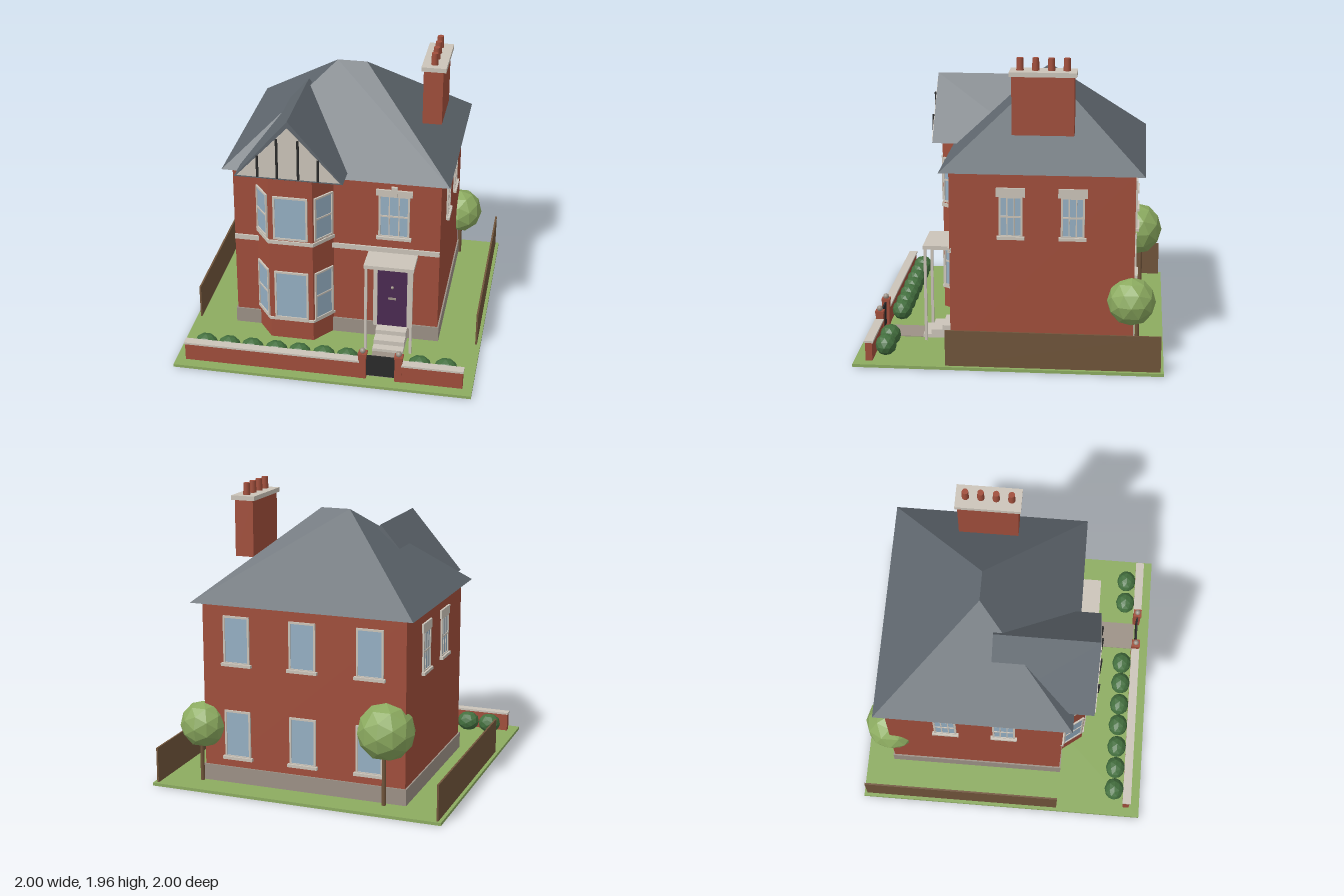
import * as THREE from 'three';
import { ConvexGeometry } from 'three/addons/geometries/ConvexGeometry.js';

const material = (name, color, extra = {}) => {
  const m = new THREE.MeshStandardMaterial({ color, ...extra });
  m.name = name;
  return m;
};

export function createModel() {
  const brick = material('brick', 0xa04e3b);
  const cream = material('cream stone', 0xcbc4b9);
  const slate = material('slate', 0x5f676e);
  const glass = material('glass', 0x95afc3);
  const stone = material('grey stone', 0x9c9186);
  const purple = material('purple paint', 0x4b2a52);
  const black = material('black timber', 0x2a2a2a);
  const wood = material('brown wood', 0x70543a);
  const green = material('grass green', 0x8cab60, { flatShading: true });
  const hedge = material('hedge green', 0x44703f, { flatShading: true });

  const model = new THREE.Group();
  model.name = 'house';

  const add = (parent, name, geometry, mat, x = 0, y = 0, z = 0) => {
    const mesh = new THREE.Mesh(geometry, mat);
    mesh.name = name;
    mesh.position.set(x, y, z);
    parent.add(mesh);
    return mesh;
  };
  // Box given by its limits on each axis
  const box = (parent, name, mat, [x0, x1], [y0, y1], [z0, z1]) =>
    add(parent, name, new THREE.BoxGeometry(x1 - x0, y1 - y0, z1 - z0), mat,
      (x0 + x1) / 2, (y0 + y1) / 2, (z0 + z1) / 2);
  const group = (name, x = 0, y = 0, z = 0, turn = 0) => {
    const g = new THREE.Group();
    g.name = name;
    g.position.set(x, y, z);
    g.rotation.y = turn;
    model.add(g);
    return g;
  };
  const hull = (points) => new ConvexGeometry(points.map((p) => new THREE.Vector3(...p)));

  // Window facing +z, with its origin at the middle of the wall opening
  function addWindow(name, x, y, z, turn, w, h, { bars = 0, transom = false, lintel = 0, keystone = false, sill = true } = {}) {
    const g = group(name, x, y, z, turn);
    const a = w / 2, b = h / 2, f = 0.013;
    box(g, 'pane', glass, [-a, a], [-b, b], [-0.002, 0.005]);
    for (const s of [-1, 1]) {
      box(g, 'frameSide', cream, [s * a - f / 2, s * a + f / 2], [-b, b], [-0.002, 0.012]);
      box(g, 'frameRail', cream, [-a - f / 2, a + f / 2], [s * b - f / 2, s * b + f / 2], [-0.002, 0.012]);
    }
    for (let i = 1; i <= bars; i++) {
      const bx = -a + (w * i) / (bars + 1);
      box(g, 'glazingBar', cream, [bx - 0.004, bx + 0.004], [-b, b], [0, 0.009]);
    }
    if (transom) box(g, 'transom', cream, [-a, a], [-0.006, 0.006], [0, 0.01]);
    if (sill) box(g, 'sill', cream, [-a - 0.02, a + 0.02], [-b - 0.02, -b], [-0.002, 0.025]);
    if (lintel) box(g, 'lintel', cream, [-a - 0.024, a + 0.024], [b, b + lintel], [-0.002, 0.014]);
    if (keystone) box(g, 'keystone', cream, [-0.02, 0.02], [b, b + lintel + 0.025], [-0.002, 0.02]);
  }

  // Plot, path and side fences
  box(model, 'lawn', green, [-1, 1], [0, 0.02], [-1, 1]);
  box(model, 'path', stone, [0.29, 0.49], [0.02, 0.025], [0.6, 0.89]);
  for (const s of [-1, 1]) {
    box(model, 'sideFence', wood, [s * 0.971 - 0.006, s * 0.971 + 0.006], [0.02, 0.26], [-0.98, 0.4]);
  }

  // House body and hipped roof
  box(model, 'walls', brick, [-0.7, 0.7], [0.02, 1.24], [-0.8, 0.4]);
  box(model, 'plinth', stone, [-0.71, 0.71], [0.02, 0.13], [-0.81, 0.41]);
  add(model, 'mainRoof', hull([
    [-0.76, 1.24, -0.86], [0.76, 1.24, -0.86], [-0.76, 1.24, 0.46], [0.76, 1.24, 0.46],
    [-0.1, 1.8, -0.2], [0.1, 1.8, -0.2],
  ]), slate);
  box(model, 'wallBand', cream, [-0.7, -0.53], [0.69, 0.725], [0.39, 0.412]);
  box(model, 'wallBand', cream, [-0.035, 0.7], [0.69, 0.725], [0.39, 0.412]);

  // Chimney stack with four pots
  box(model, 'chimney', brick, [0.51, 0.64], [1.47, 1.85], [-0.4, 0]);
  box(model, 'chimneyCap', cream, [0.495, 0.66], [1.85, 1.88], [-0.415, 0.015]);
  for (let i = 0; i < 4; i++) {
    add(model, 'chimneyPot', new THREE.CylinderGeometry(0.021, 0.024, 0.08, 12), brick, 0.575, 1.92, -0.05 - i * 0.1);
  }

  // Two-storey bay: a canted footprint raised between two heights
  const bayX = -0.28, halfFront = 0.148, halfBack = 0.262, bayZ = 0.55;
  const bayLayer = (name, mat, y0, y1, grow = 0) => {
    const shape = new THREE.Shape([
      [-halfBack - grow, -0.38], [-halfBack - grow, -0.4], [-halfFront - grow * 0.6, -bayZ - grow],
      [halfFront + grow * 0.6, -bayZ - grow], [halfBack + grow, -0.4], [halfBack + grow, -0.38],
    ].map(([x, y]) => new THREE.Vector2(x, y)));
    const geo = new THREE.ExtrudeGeometry(shape, { depth: y1 - y0, bevelEnabled: false });
    add(model, name, geo.rotateX(-Math.PI / 2), mat, bayX, y0, 0);
  };
  bayLayer('bayWalls', brick, 0.02, 1.25);
  bayLayer('bayLowerSill', cream, 0.165, 0.182, 0.01);
  bayLayer('bayBand', cream, 0.765, 0.79, 0.01);
  bayLayer('bayTopTrim', black, 1.25, 1.272, 0.006);
  const cant = Math.atan2(bayZ - 0.4, halfBack - halfFront);
  for (const [y, h] of [[0.367, 0.355], [0.962, 0.31]]) {
    addWindow('bayFrontWindow', bayX, y, bayZ, 0, 0.22, h, { sill: false });
    for (const s of [-1, 1]) {
      addWindow('baySideWindow', bayX + s * (halfBack + halfFront) / 2, y, (bayZ + 0.4) / 2, s * cant, 0.15, h,
        { transom: true, sill: false });
    }
  }

  // Gable over the bay, with timber studs
  add(model, 'gableRoof', hull([-0.1, 0.592].flatMap((z) => [
    [bayX - 0.36, 1.27, z], [bayX + 0.36, 1.27, z], [bayX, 1.69, z],
  ])), slate);
  add(model, 'gablePanel', hull([0.59, 0.598].flatMap((z) => [
    [bayX - 0.34, 1.282, z], [bayX + 0.34, 1.282, z], [bayX, 1.645, z],
  ])), cream);
  for (const [dx, top] of [[0.07, 1.565], [0.2, 1.435]]) {
    for (const s of [-1, 1]) {
      const x = bayX + s * dx;
      box(model, 'gableStud', black, [x - 0.007, x + 0.007], [1.285, top], [0.596, 0.61]);
    }
  }

  // Upper front, side and rear windows
  addWindow('frontWindow', 0.39, 0.967, 0.4, 0, 0.195, 0.305,
    { bars: 2, transom: true, lintel: 0.044, keystone: true });
  for (const s of [-1, 1]) {
    for (const z of [0, -0.4]) {
      addWindow('sideWindow', s * 0.7, 0.948, z, s * Math.PI / 2, 0.14, 0.262, { bars: 2, transom: true, lintel: 0.06 });
    }
  }
  for (const x of [-0.46, 0, 0.46]) {
    for (const y of [0.36, 1.0]) addWindow('rearWindow', x, y, -0.8, Math.PI, 0.17, 0.31);
  }

  // Front door, surround and fanlight
  const doorX = 0.388;
  box(model, 'door', purple, [doorX - 0.102, doorX + 0.102], [0.11, 0.58], [0.39, 0.412]);
  box(model, 'doorHead', cream, [doorX - 0.13, doorX + 0.13], [0.58, 0.597], [0.39, 0.422]);
  for (const s of [-1, 1]) {
    box(model, 'doorJamb', cream, [doorX + s * 0.116 - 0.014, doorX + s * 0.116 + 0.014], [0.11, 0.58], [0.39, 0.422]);
  }
  box(model, 'letterbox', stone, [doorX - 0.027, doorX + 0.027], [0.323, 0.338], [0.41, 0.417]);
  add(model, 'knocker', new THREE.SphereGeometry(0.011, 10, 8), stone, doorX, 0.42, 0.415);
  const fan = group('fanlight', doorX, 0.597, 0.401);
  fan.scale.y = 0.75;
  add(fan, 'fanPane', new THREE.CircleGeometry(0.11, 24, 0, Math.PI), glass, 0, 0, 0.006);
  const arch = new THREE.Shape().absarc(0, 0, 0.122, 0, Math.PI).absarc(0, 0, 0.1, Math.PI, 0, true);
  add(fan, 'fanArch', new THREE.ExtrudeGeometry(arch, { depth: 0.015, bevelEnabled: false }), cream);
  for (const angle of [45, 90, 135]) {
    const t = THREE.MathUtils.degToRad(angle);
    const bar = add(fan, 'fanBar', new THREE.BoxGeometry(0.1, 0.008, 0.006), cream,
      0.05 * Math.cos(t), 0.05 * Math.sin(t), 0.009);
    bar.rotation.z = t;
  }

  // Porch canopy, posts and steps
  box(model, 'porchCanopy', cream, [0.22, 0.555], [0.662, 0.688], [0.4, 0.597]);
  for (const x of [0.234, 0.541]) box(model, 'porchPost', cream, [x - 0.009, x + 0.009], [0.02, 0.662], [0.575, 0.593]);
  for (const [top, z] of [[0.045, 0.61], [0.078, 0.555], [0.11, 0.48]]) {
    box(model, 'step', cream, [0.285, 0.495], [0.02, top], [0.4, z]);
  }

  // Garden wall, gate and gate pillars
  for (const [x0, x1] of [[-0.94, 0.25], [0.53, 0.94]]) {
    box(model, 'gardenWall', brick, [x0 + 0.005, x1 - 0.005], [0.02, 0.143], [0.88, 0.925]);
    box(model, 'wallCoping', cream, [x0, x1], [0.143, 0.157], [0.873, 0.932]);
  }
  for (const x of [0.27, 0.51]) {
    box(model, 'gatePillar', brick, [x - 0.025, x + 0.025], [0.02, 0.195], [0.877, 0.927]);
    box(model, 'pillarCap', brick, [x - 0.029, x + 0.029], [0.195, 0.21], [0.873, 0.931]);
    add(model, 'pillarBall', new THREE.SphereGeometry(0.02, 12, 8), stone, x, 0.224, 0.902);
  }
  box(model, 'gate', black, [0.295, 0.485], [0.035, 0.19], [0.897, 0.907]);

  // Hedge bushes and rear trees
  for (const x of [-0.82, -0.66, -0.5, -0.335, -0.175, -0.01, 0.15, 0.635, 0.81]) {
    const bush = add(model, 'bush', new THREE.IcosahedronGeometry(0.07, 1), hedge, x, 0.087, 0.81);
    bush.scale.x = 1.15;
  }
  for (const [x, y, z, r] of [[-0.57, 0.5, -0.8, 0.19], [0.715, 0.4, -0.785, 0.158]]) {
    add(model, 'treeCrown', new THREE.IcosahedronGeometry(r, 1), green, x, y, z);
    add(model, 'treeTrunk', new THREE.CylinderGeometry(0.012, 0.015, y - 0.02, 8), wood, x, (y + 0.02) / 2, z - 0.04);
  }
  return model;
}
